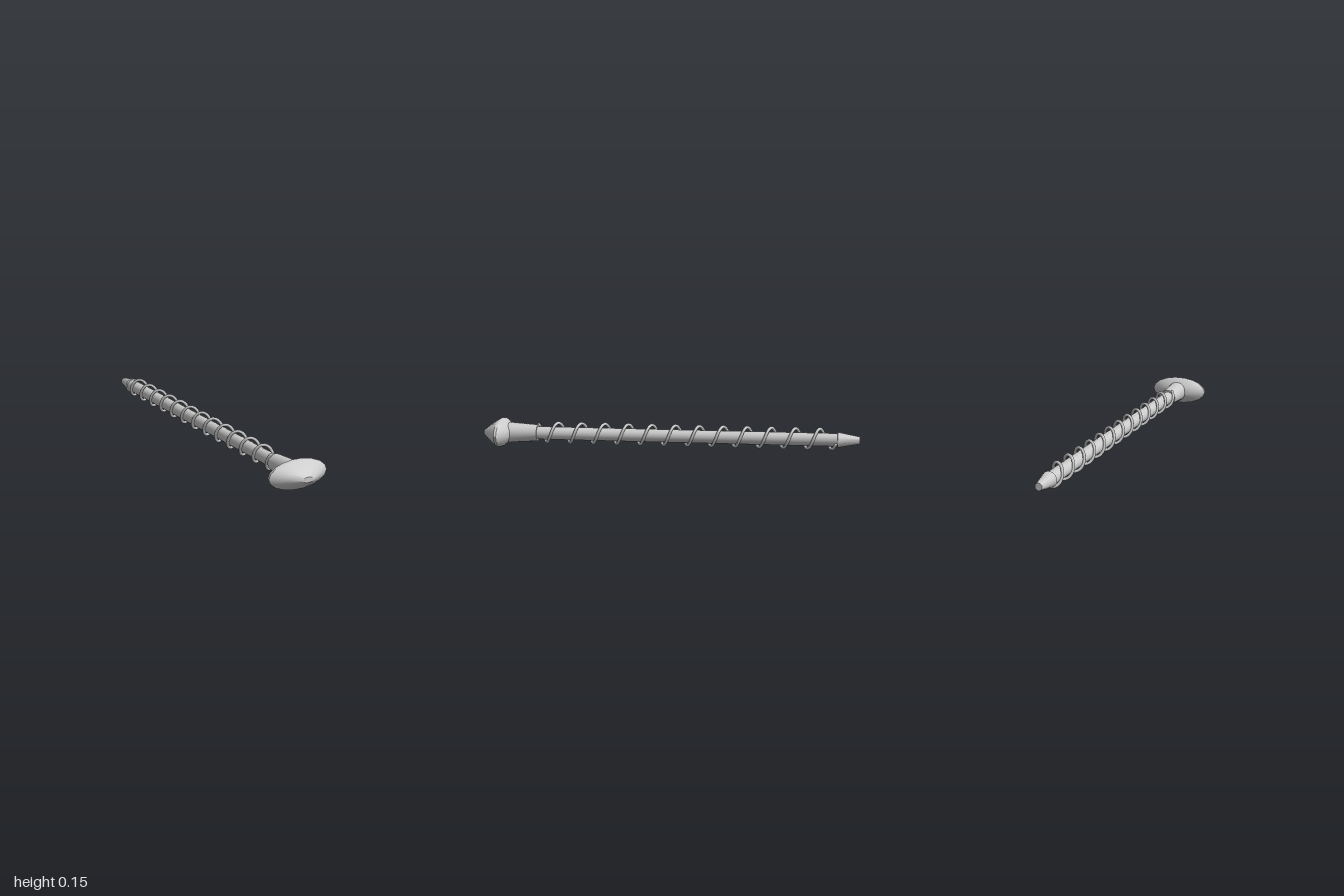
import * as THREE from 'three';
import { toCreasedNormals } from 'three/addons/utils/BufferGeometryUtils.js';

const AXIS_Y = 0.0745;

export function createModel() {
  const group = new THREE.Group();
  const material = new THREE.MeshStandardMaterial({ color: 0xcccccc });

  // Turned part lying along z; profile is [radius, z] from back to front
  const turned = (name, profile, flatten = 1) => {
    const points = profile.map(([r, z]) => new THREE.Vector2(r, z));
    let geometry = new THREE.LatheGeometry(points, 18, Math.PI / 2);
    geometry.rotateX(Math.PI / 2);
    geometry.scale(1, flatten, 1);
    geometry = toCreasedNormals(geometry, 0.6);
    const mesh = new THREE.Mesh(geometry, material);
    mesh.name = name;
    mesh.position.y = AXIS_Y;
    group.add(mesh);
  };

  // Flattened oval head with a small flat on its front
  turned('head', [
    [0, 0.85], [0.05, 0.85], [0.1, 0.866], [0.148, 0.889], [0.16, 0.9],
    [0.16, 0.913], [0.15, 0.922], [0.09, 0.964], [0.03, 1], [0, 1],
  ], AXIS_Y / 0.16);

  // Tapered neck, straight shaft and blunt tip
  turned('neck', [[0, 0.71], [0.044, 0.71], [0.055, 0.865], [0, 0.865]]);
  turned('shaft', [[0, -0.89], [0.034, -0.89], [0.034, 0.72], [0, 0.72]]);
  turned('tip', [[0, -1], [0.019, -1], [0.034, -0.92], [0.041, -0.885], [0, -0.88]]);

  // Wire thread: an oval helix wound along the shaft
  const pitch = 0.1263, start = -0.875, end = 0.71;
  class Helix extends THREE.Curve {
    getPoint(t, target = new THREE.Vector3()) {
      const z = start + (end - start) * t;
      const a = (2 * Math.PI * (z + 0.79)) / pitch;
      return target.set(0.038 * Math.sin(a), AXIS_Y + 0.004 + 0.052 * Math.cos(a), z);
    }
  }
  const helix = new Helix();
  helix.arcLengthDivisions = 800;
  const thread = new THREE.Mesh(new THREE.TubeGeometry(helix, 300, 0.008, 8), material);
  thread.name = 'thread';
  group.add(thread);

  // Caps closing both ends of the wire
  [0, 1].forEach((t) => {
    const cap = new THREE.Mesh(new THREE.SphereGeometry(0.008, 8, 6), material);
    cap.name = t ? 'threadFrontEnd' : 'threadBackEnd';
    cap.position.copy(helix.getPoint(t));
    group.add(cap);
  });

  return group;
}
